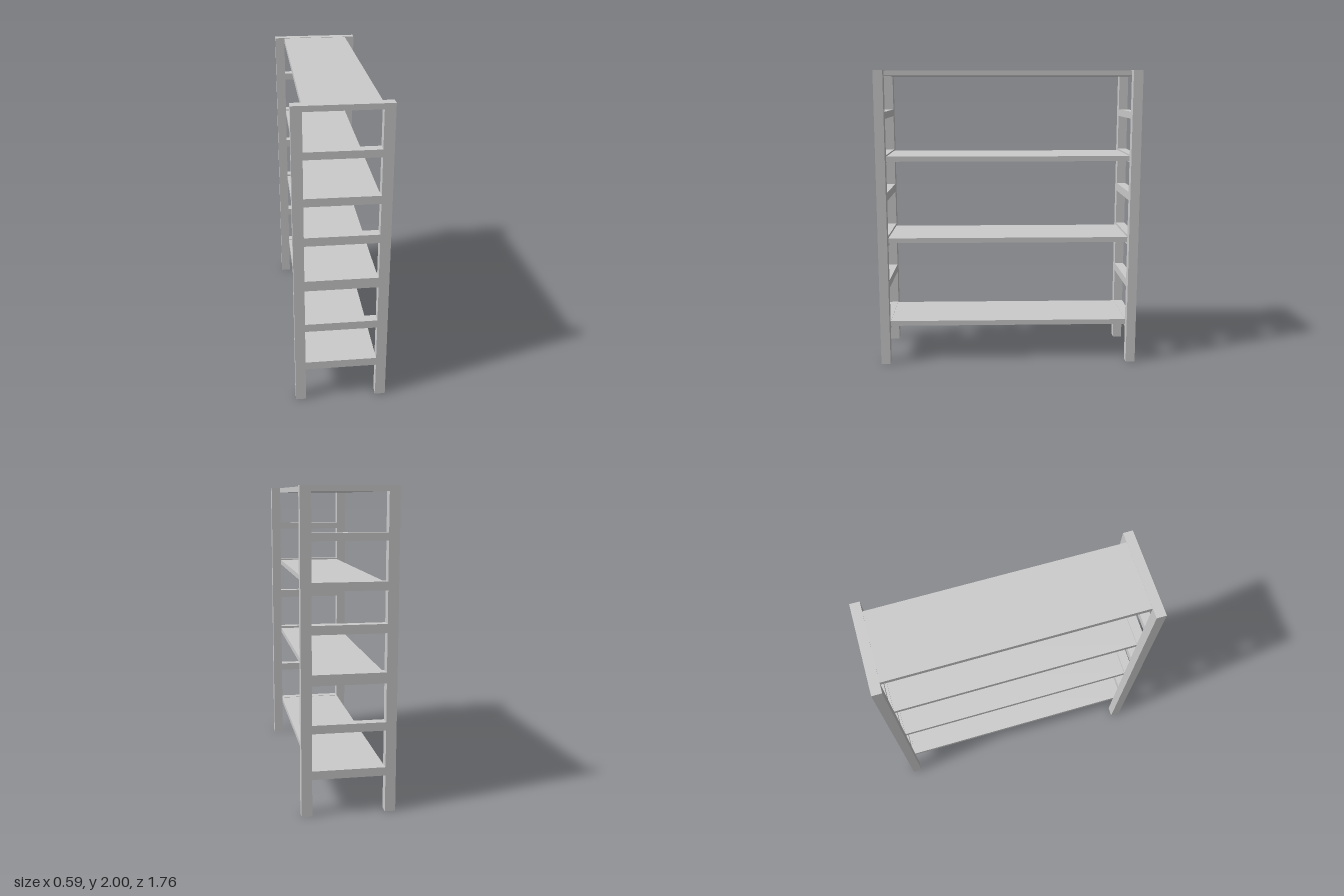
import * as THREE from 'three';

const material = new THREE.MeshStandardMaterial({ color: 0xcccccc });

const OUTER = 0.295, INNER = 0.229;   // half widths of the ladder frame
const Z_OUT = 0.88, Z_IN = 0.817;     // frame depth range
// [bottom, top] of each rung, lowest first; the last is the top rail
const RUNGS = [
  [0.236, 0.29], [0.526, 0.579], [0.823, 0.891], [1.132, 1.188],
  [1.39, 1.442], [1.682, 1.729], [1.965, 2],
];
const SHELF_TOPS = [0.288, 0.875, 1.432, 1.998];
const SHELF_THICKNESS = 0.034;

// Ladder outline: open between the feet, one window between each pair of rungs
function ladderGeometry() {
  const foot = RUNGS[0][0];
  const shape = new THREE.Shape([
    [-OUTER, 0], [-INNER, 0], [-INNER, foot], [INNER, foot],
    [INNER, 0], [OUTER, 0], [OUTER, 2], [-OUTER, 2],
  ].map(([x, y]) => new THREE.Vector2(x, y)));
  for (let i = 0; i < RUNGS.length - 1; i++) {
    const low = RUNGS[i][1], high = RUNGS[i + 1][0];
    shape.holes.push(new THREE.Path([
      new THREE.Vector2(-INNER, low), new THREE.Vector2(-INNER, high),
      new THREE.Vector2(INNER, high), new THREE.Vector2(INNER, low),
    ]));
  }
  return new THREE.ExtrudeGeometry(shape, { depth: Z_OUT - Z_IN, bevelEnabled: false });
}

export function createModel() {
  const group = new THREE.Group();
  group.name = 'shelvingUnit';

  // Matching ladder frames at front and back
  const ladder = ladderGeometry();
  for (const [name, z] of [['frontFrame', Z_IN], ['backFrame', -Z_OUT]]) {
    const frame = new THREE.Mesh(ladder, material);
    frame.name = name;
    frame.position.z = z;
    group.add(frame);
  }

  // Shelves spanning between the frames
  const board = new THREE.BoxGeometry(INNER * 2, SHELF_THICKNESS, Z_IN * 2);
  SHELF_TOPS.forEach((top, i) => {
    const shelf = new THREE.Mesh(board, material);
    shelf.name = `shelf${i + 1}`;
    shelf.position.y = top - SHELF_THICKNESS / 2;
    group.add(shelf);
  });

  return group;
}
